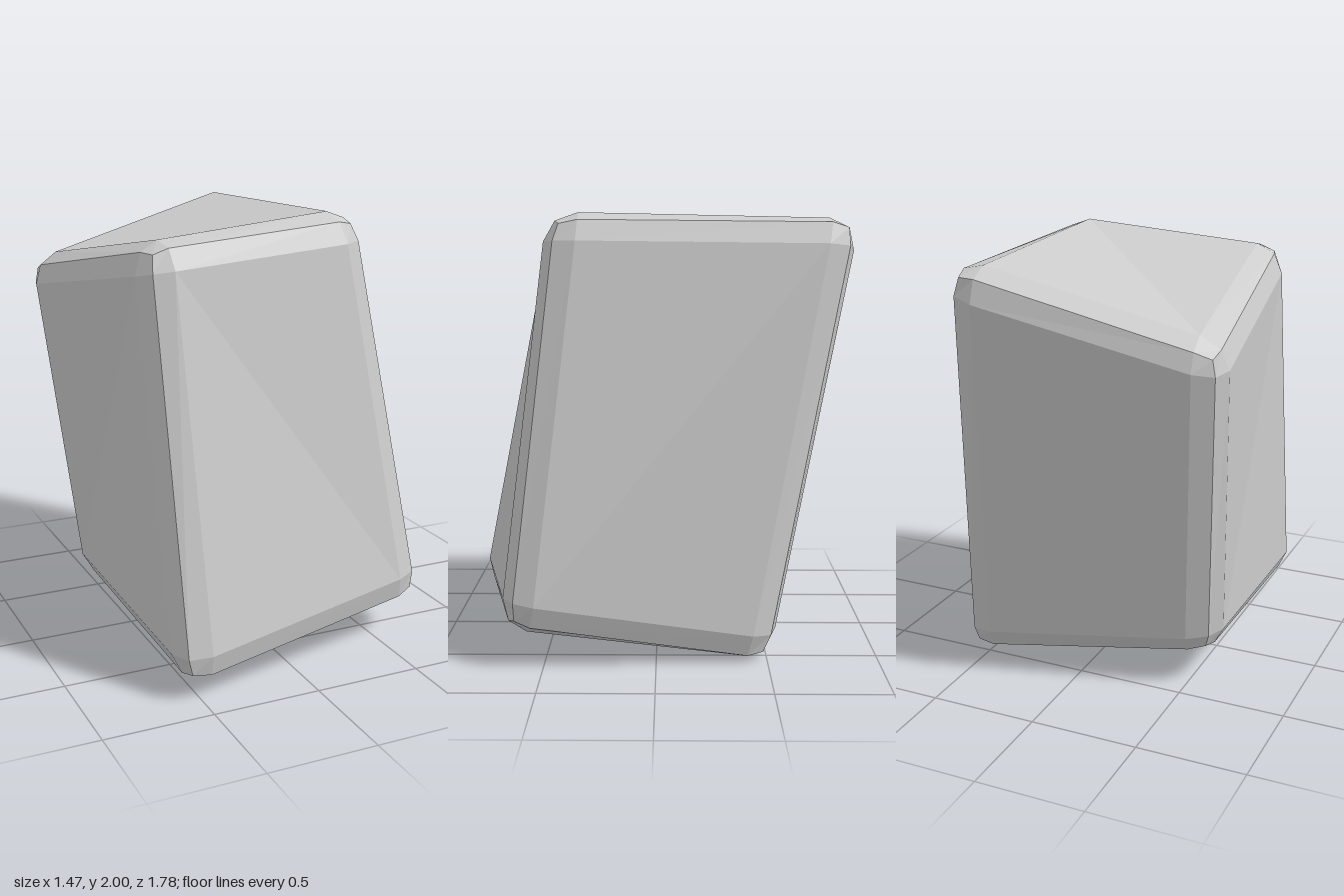
import * as THREE from 'three';

// Sharp corners of the skewed block, before its edges are rounded
const CORNERS = {
  bottomBack: [[-0.635, 0.165, -0.42], [0.625, -0.04, -0.525]],
  bottomFront: [[-0.602, 0.06, 0.95], [0.772, 0.175, 0.67]],
  topBack: [[-0.763, 1.68, -0.755], [0.415, 2.01, -0.938]],
  topFront: [[-0.602, 1.948, 0.56], [0.467, 2.01, 0.485]],
};
const SIZE = [1.2, 1.8, 1.3]; // average block size, keeps the bevel even
const BEVEL = 0.13;

// Blend the eight corners; u, v, w run 0..1 along x, y, z
function warp(u, v, w) {
  const edge = ([a, b]) => new THREE.Vector3(...a).lerp(new THREE.Vector3(...b), u);
  const bottom = edge(CORNERS.bottomBack).lerp(edge(CORNERS.bottomFront), w);
  const top = edge(CORNERS.topBack).lerp(edge(CORNERS.topFront), w);
  return bottom.lerp(top, v);
}

function beveledBlock() {
  const geo = new THREE.BoxGeometry(2, 2, 2, 3, 3, 3);
  const pos = geo.attributes.position;
  for (let i = 0; i < pos.count; i++) {
    const p = [pos.getX(i), pos.getY(i), pos.getZ(i)];
    // outer grid lines lie on the rounding, inner ones bound the flat faces
    const dir = p.map((c) => (Math.abs(c) > 0.9 ? Math.sign(c) : 0));
    const len = Math.hypot(...dir);
    const t = p.map((c, k) => {
      const offset = Math.sign(c) * (SIZE[k] / 2 - BEVEL) + (BEVEL * dir[k]) / len;
      return offset / SIZE[k] + 0.5;
    });
    const q = warp(...t);
    pos.setXYZ(i, q.x, q.y, q.z);
  }

  // Turn the fold of the large top, bottom, front and back faces
  const index = geo.index.array;
  for (const face of [2, 3, 4, 5]) {
    const o = face * 54 + 24;
    const [a, b, d, , c] = index.slice(o, o + 6);
    index.set([a, b, c, a, c, d], o);
  }
  const flat = geo.toNonIndexed();
  flat.clearGroups();
  flat.computeVertexNormals();
  return flat;
}

export function createModel() {
  const group = new THREE.Group();
  group.name = 'stoneBlock';
  const stone = new THREE.MeshStandardMaterial({ color: 0xcccccc });
  stone.name = 'stone grey';
  const block = new THREE.Mesh(beveledBlock(), stone);
  block.name = 'beveledStone';
  group.add(block);
  return group;
}
